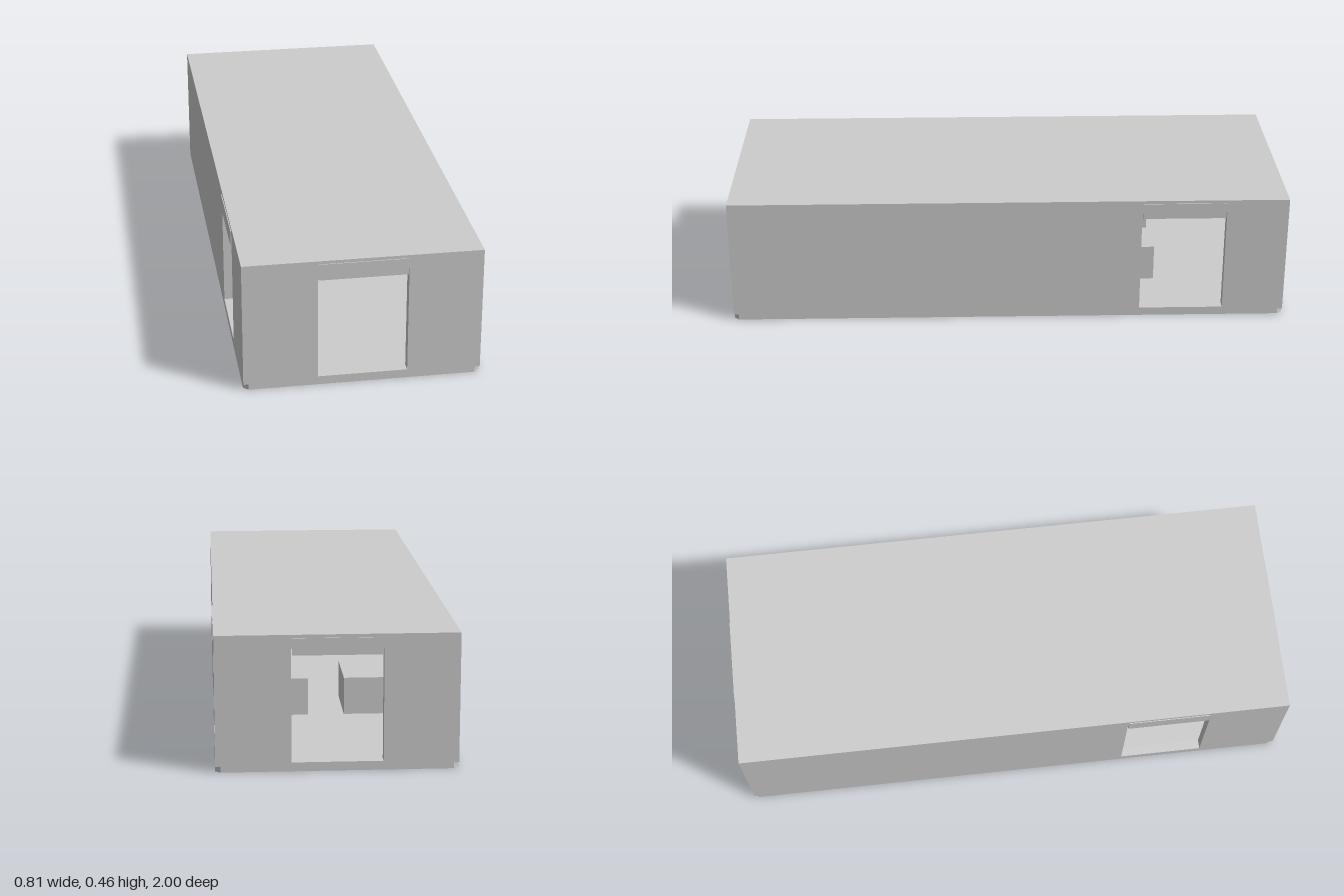
import * as THREE from 'three';

export function createModel() {
  const model = new THREE.Group();
  model.name = 'building';
  const grey = new THREE.MeshStandardMaterial({ color: 0xcccccc });
  grey.name = 'plain grey';

  const X = 0.4, Z = 0.997, T = 0.033; // half width, half length, wall thickness
  const BASE = 0.02, SILL = 0.03, DOOR_TOP = 0.41, CEILING = 0.424, TOP = 0.457;

  function add(parent, name, geometry, x = 0, y = 0, z = 0) {
    const mesh = new THREE.Mesh(geometry, grey);
    mesh.name = name;
    mesh.position.set(x, y, z);
    parent.add(mesh);
    return mesh;
  }
  function box(parent, name, x0, x1, y0, y1, z0, z1) {
    return add(parent, name, new THREE.BoxGeometry(x1 - x0, y1 - y0, z1 - z0),
      (x0 + x1) / 2, (y0 + y1) / 2, (z0 + z1) / 2);
  }

  // Base slab with its four corners cut off
  const c = 0.017;
  const outline = [
    [-X + c, -Z], [X - c, -Z], [X, -Z + c], [X, Z - c],
    [X - c, Z], [-X + c, Z], [-X, Z - c], [-X, -Z + c],
  ].map(([x, z]) => new THREE.Vector2(x, z));
  const slab = new THREE.ExtrudeGeometry(new THREE.Shape(outline), { depth: BASE, bevelEnabled: false });
  slab.rotateX(-Math.PI / 2);
  add(model, 'baseSlab', slab);
  box(model, 'floor', -X + T, X - T, BASE, SILL, -Z + T, Z - T);
  box(model, 'roof', -X, X, CEILING, TOP, -Z, Z);

  // Wall with a doorway and a thin header plate hung over it, facing local +z
  function wall(name, half, doorX, distance, angle) {
    const group = new THREE.Group();
    group.name = name;
    const shape = new THREE.Shape();
    shape.moveTo(-half, BASE).lineTo(half, BASE).lineTo(half, CEILING).lineTo(-half, CEILING).closePath();
    const hole = new THREE.Path();
    const a = doorX - 0.151, b = doorX + 0.151;
    hole.moveTo(a, SILL).lineTo(a, DOOR_TOP).lineTo(b, DOOR_TOP).lineTo(b, SILL).closePath();
    shape.holes.push(hole);
    const geometry = new THREE.ExtrudeGeometry(shape, { depth: T, bevelEnabled: false });
    add(group, name + 'Panel', geometry, 0, 0, distance - T);
    box(group, name + 'DoorHeader', doorX - 0.148, doorX + 0.148, 0.389, 0.446,
      distance - 0.007, distance + 0.003);
    group.rotation.y = angle;
    model.add(group);
  }
  wall('frontWall', X, 0, Z, 0);
  wall('backWall', X, 0, Z, Math.PI);
  wall('leftWall', Z - T, 0.625, X, Math.PI / 2);
  wall('rightWall', Z - T, 0.56, X, -Math.PI / 2);

  // Raised blocks on both sides of the aisle inside
  box(model, 'rightInnerBlock', -0.22, -0.056, 0.063, 0.194, -0.54, -0.3);
  box(model, 'leftInnerBlock', 0.07, 0.234, 0.063, 0.194, -0.54, -0.3);

  return model;
}
